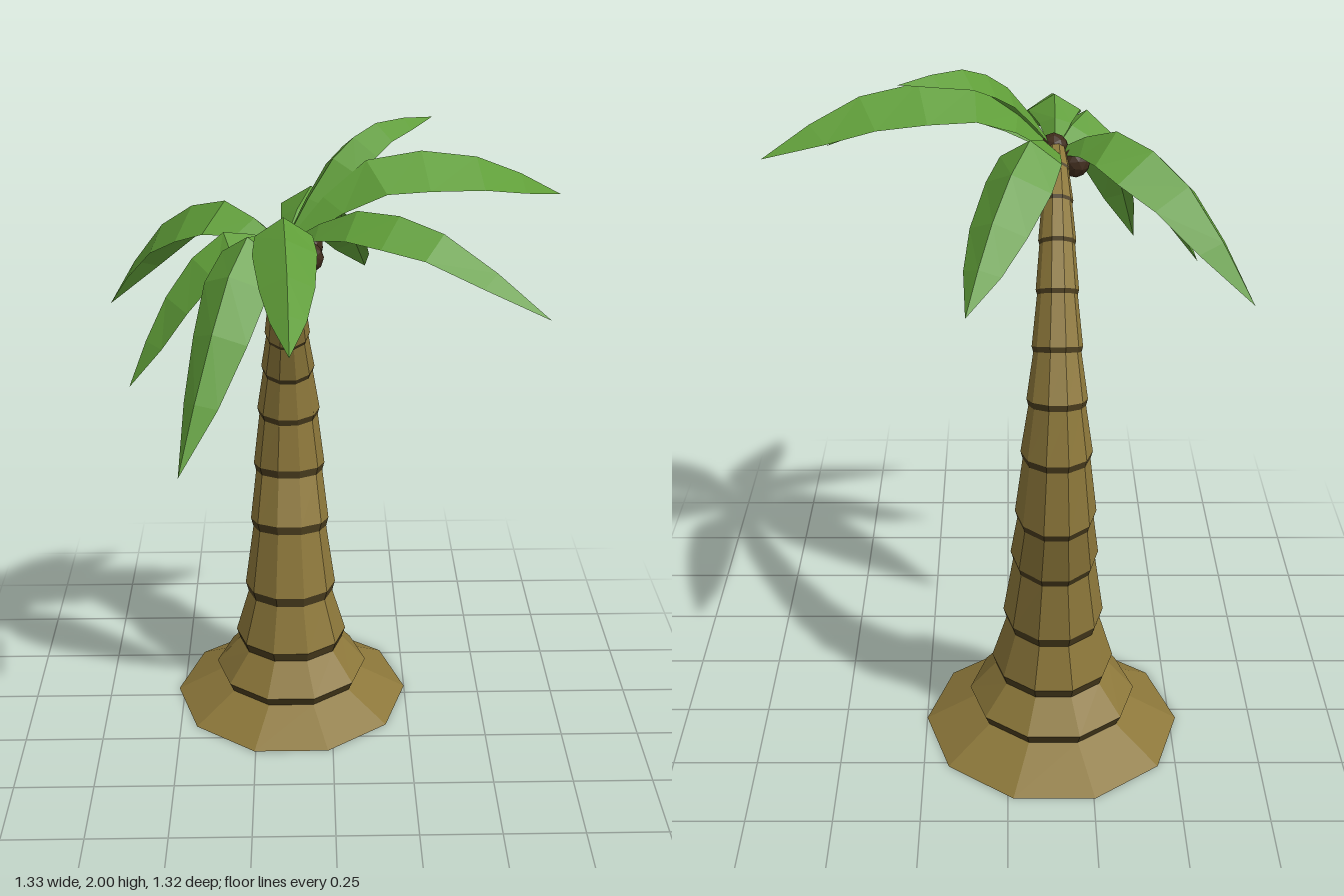
import * as THREE from 'three';

const SIDES = 10;
const V = (x, y, z) => new THREE.Vector3(x, y, z);
const material = (color, side = THREE.FrontSide) =>
  new THREE.MeshStandardMaterial({ color, side, flatShading: true, roughness: 0.9 });

// Joins cross-sections (equal-length arrays of points) with quads
function loft(sections) {
  const pos = [];
  for (let s = 0; s < sections.length - 1; s++) {
    const lo = sections[s], hi = sections[s + 1];
    for (let i = 0; i < lo.length - 1; i++) {
      for (const p of [lo[i], hi[i], lo[i + 1], lo[i + 1], hi[i], hi[i + 1]]) pos.push(p.x, p.y, p.z);
    }
  }
  const g = new THREE.BufferGeometry();
  g.setAttribute('position', new THREE.Float32BufferAttribute(pos, 3));
  g.computeVertexNormals();
  return g;
}

// Trunk joints, bottom to top: [y, z, radius]
const TRUNK_X = -0.135;
const JOINTS = [
  [0, -0.29, 0.385], [0.1, -0.285, 0.25], [0.225, -0.285, 0.182], [0.4, -0.295, 0.148],
  [0.625, -0.325, 0.127], [0.8, -0.383, 0.115], [0.995, -0.39, 0.1], [1.15, -0.372, 0.084],
  [1.285, -0.32, 0.07], [1.425, -0.254, 0.059], [1.54, -0.18, 0.052], [1.63, -0.11, 0.045],
  [1.69, -0.03, 0.038], [1.72, 0.08, 0.03],
];

// Leaves: spine points after the crown (near, far, tip) and half width
const CROWN = V(-0.135, 1.71, 0.1);
const LEAVES = [
  [[-0.3, 1.8, -0.01], [-0.49, 1.69, -0.15], [-0.67, 1.4, -0.29], 0.12],
  [[-0.3, 1.75, 0.12], [-0.46, 1.58, 0.16], [-0.57, 1.33, 0.2], 0.09],
  [[-0.23, 1.78, 0.26], [-0.32, 1.58, 0.45], [-0.41, 1.25, 0.615], 0.095],
  [[-0.135, 1.83, 0.25], [-0.125, 1.74, 0.46], [-0.12, 1.6, 0.665], 0.085],
  [[0.06, 1.84, 0.23], [0.28, 1.81, 0.34], [0.555, 1.61, 0.445], 0.1],
  [[0.09, 1.92, 0.02], [0.4, 1.91, -0.05], [0.66, 1.77, -0.16], 0.125],
  [[0, 1.92, 0], [0.12, 1.995, -0.09], [0.285, 1.985, -0.205], 0.075],
  [[-0.06, 1.81, -0.12], [0.04, 1.65, -0.32], [0.11, 1.45, -0.485], 0.1],
];
const LEAF_WIDTHS = [0.1, 0.55, 0.9, 1, 0.85, 0.55, 0];

function ring(y, z, r, ty, tz) {
  return Array.from({ length: SIDES + 1 }, (_, i) => {
    const a = (i % SIDES) / SIDES * Math.PI * 2;
    return V(TRUNK_X + r * Math.cos(a), y - r * Math.sin(a) * tz, z + r * Math.sin(a) * ty);
  });
}

function createTrunk() {
  const trunk = new THREE.Group();
  trunk.name = 'trunk';
  const bark = material(0x8c773a), dark = material(0x4a3d1e);
  // Each joint has a narrow ring below and a flared ring above
  const rings = JOINTS.map(([y, z, r], i) => {
    const a = JOINTS[Math.max(i - 1, 0)], b = JOINTS[Math.min(i + 1, JOINTS.length - 1)];
    const t = i < 2 ? new THREE.Vector2(1, 0) : new THREE.Vector2(b[0] - a[0], b[1] - a[1]).normalize();
    const h = i === 0 ? 0 : Math.min(0.016, r * 0.11);
    return {
      under: ring(y - h * t.x, z - h * t.y, r * 0.94, t.x, t.y),
      over: ring(y + h * t.x, z + h * t.y, r, t.x, t.y),
    };
  });
  for (let i = 0; i < rings.length - 1; i++) {
    const segment = new THREE.Mesh(loft([rings[i].over, rings[i + 1].under]), bark);
    segment.name = i ? 'trunkSegment' : 'trunkFoot';
    trunk.add(segment);
    if (i) {
      const band = new THREE.Mesh(loft([rings[i].under, rings[i].over]), dark);
      band.name = 'trunkBand';
      trunk.add(band);
    }
  }
  // Closed underside
  const base = new THREE.Mesh(new THREE.CircleGeometry(JOINTS[0][2], SIDES), bark);
  base.name = 'trunkUnderside';
  base.rotation.x = Math.PI / 2;
  base.position.set(TRUNK_X, 0, JOINTS[0][1]);
  trunk.add(base);
  return trunk;
}

// Roof-shaped blade along an arching spine
function createLeaf([near, far, tip, half], mat) {
  const spine = new THREE.CatmullRomCurve3([CROWN, V(...near), V(...far), V(...tip)]);
  const last = LEAF_WIDTHS.length - 1;
  const sections = LEAF_WIDTHS.map((w, i) => {
    const p = spine.getPoint(i / last), t = spine.getTangent(i / last);
    const side = V(-t.z, 0, t.x).normalize();
    const down = V().crossVectors(t, side).normalize();
    if (down.y > 0) down.negate();
    const edge = (s) => p.clone().addScaledVector(side, s * half * w).addScaledVector(down, half * w * 0.65);
    return [edge(-1), p, edge(1)];
  });
  const leaf = new THREE.Mesh(loft(sections), mat);
  leaf.name = 'leaf';
  return leaf;
}

function createCoconuts() {
  const coconuts = new THREE.Group();
  coconuts.name = 'coconuts';
  const shell = material(0x3f2c1c);
  const geometry = new THREE.IcosahedronGeometry(0.043, 1);
  const spots = [
    [-0.07, 1.68, 0.13], [-0.07, 1.69, 0.06], [-0.135, 1.66, 0.145],
    [-0.19, 1.68, 0.12], [-0.19, 1.69, 0.055], [-0.125, 1.635, 0.08], [-0.13, 1.72, 0.09],
  ];
  spots.forEach((s, i) => {
    const nut = new THREE.Mesh(geometry, shell);
    nut.name = 'coconut';
    nut.position.set(...s);
    nut.rotation.set(i, i * 2, 0);
    coconuts.add(nut);
  });
  return coconuts;
}

export function createModel() {
  const palm = new THREE.Group();
  palm.name = 'palmTree';
  const leaves = new THREE.Group();
  leaves.name = 'leaves';
  const green = material(0x5f9d38, THREE.DoubleSide);
  for (const spec of LEAVES) leaves.add(createLeaf(spec, green));
  palm.add(createTrunk(), leaves, createCoconuts());
  return palm;
}
